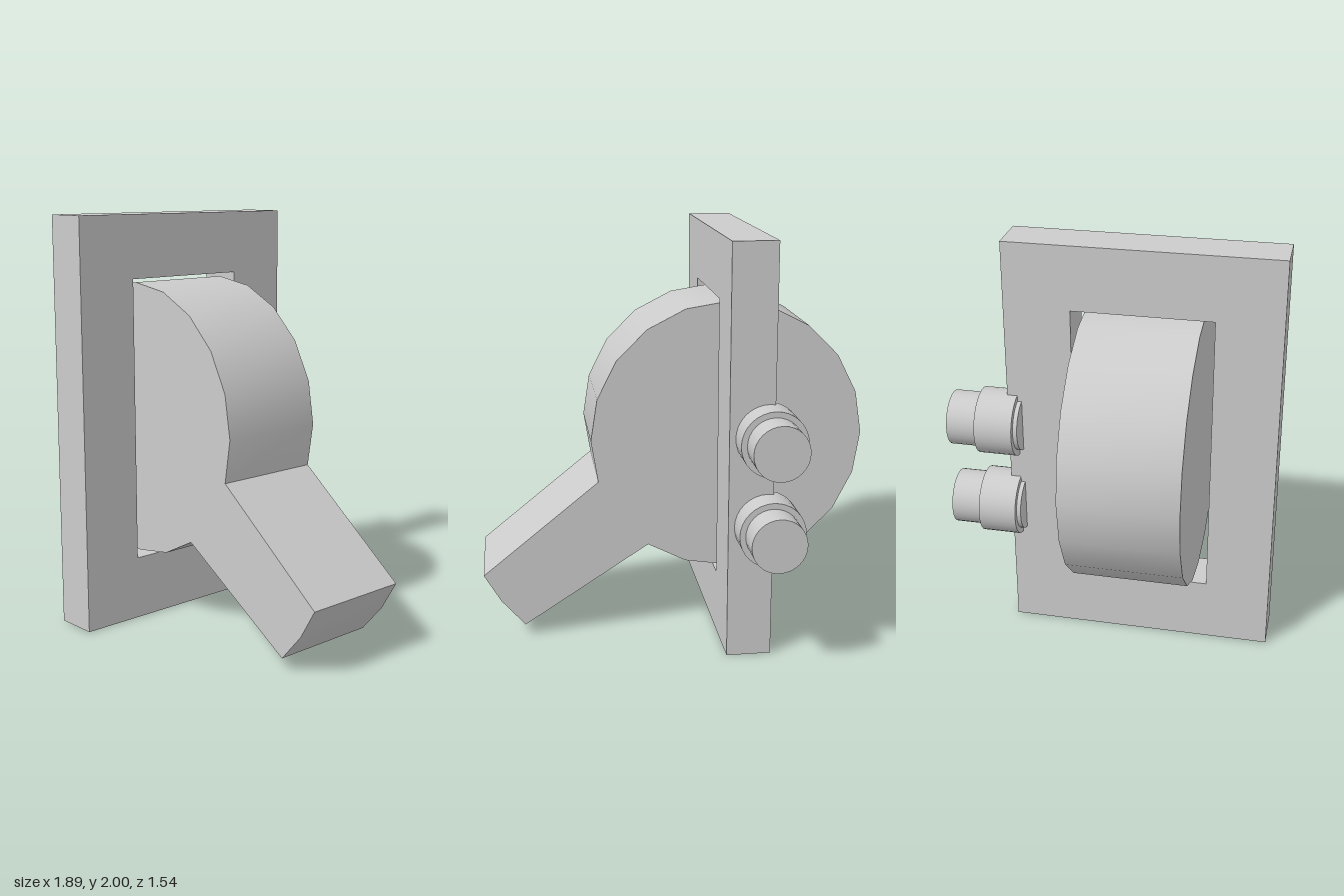
import * as THREE from 'three';
import { toCreasedNormals } from 'three/addons/utils/BufferGeometryUtils.js';

const material = new THREE.MeshStandardMaterial({ color: 0xcccccc });

function addMesh(parent, geometry, name) {
  const mesh = new THREE.Mesh(geometry, material);
  mesh.name = name;
  parent.add(mesh);
  return mesh;
}

// Rectangle corners in the order given by its two opposite corners
function rectangle(a0, b0, a1, b1) {
  return [[a0, b0], [a1, b0], [a1, b1], [a0, b1]].map(([a, b]) => new THREE.Vector2(a, b));
}

// Upright plate with a slot through it, extruded along x
function plateGeometry() {
  const shape = new THREE.Shape(rectangle(-0.77, 0, 0.498, 2));
  shape.holes.push(new THREE.Path(rectangle(-0.465, 0.31, 0.187, 1.695)));
  const geometry = new THREE.ExtrudeGeometry(shape, { depth: 0.215, bevelEnabled: false });
  geometry.rotateY(Math.PI / 2); // shape x becomes -z, depth becomes +x
  geometry.translate(-0.43, 0, 0);
  return geometry;
}

// Twenty-sided disc whose outline runs out into the lever arm
function leverGeometry() {
  const sides = 20, radius = 0.673, cx = -0.272, cy = 1;
  const points = [];
  for (let i = 0; i < sides; i++) {
    if (i === sides - 2) {
      // The arm replaces the corner between its two roots
      points.push(new THREE.Vector2(0.745, 0.057), new THREE.Vector2(0.86, 0.19), new THREE.Vector2(0.942, 0.33));
      continue;
    }
    const a = (i / sides) * Math.PI * 2;
    points.push(new THREE.Vector2(cx + radius * Math.cos(a), cy + radius * Math.sin(a)));
  }
  const geometry = new THREE.ExtrudeGeometry(new THREE.Shape(points), { depth: 0.545, bevelEnabled: false });
  geometry.translate(0, 0, -0.14);
  return toCreasedNormals(geometry, 0.5);
}

// Cylinder lying along z between two depths
function rod(radius, z0, z1) {
  const geometry = new THREE.CylinderGeometry(radius, radius, z1 - z0, 32);
  geometry.rotateX(Math.PI / 2);
  geometry.translate(0, 0, (z0 + z1) / 2);
  return geometry;
}

export function createModel() {
  const model = new THREE.Group();
  model.name = 'leverSwitch';

  addMesh(model, plateGeometry(), 'slottedPlate');
  addMesh(model, leverGeometry(), 'discLever');

  // Two stepped terminals on the rear edge of the plate
  [['upperTerminal', 1.093], ['lowerTerminal', 0.658]].forEach(([name, y]) => {
    const terminal = new THREE.Group();
    terminal.name = name;
    terminal.position.set(-0.402, y, 0);
    addMesh(terminal, rod(0.158, -0.63, -0.45), 'terminalCollar');
    addMesh(terminal, rod(0.13, -0.773, -0.43), 'terminalPin');
    model.add(terminal);
  });

  return model;
}
